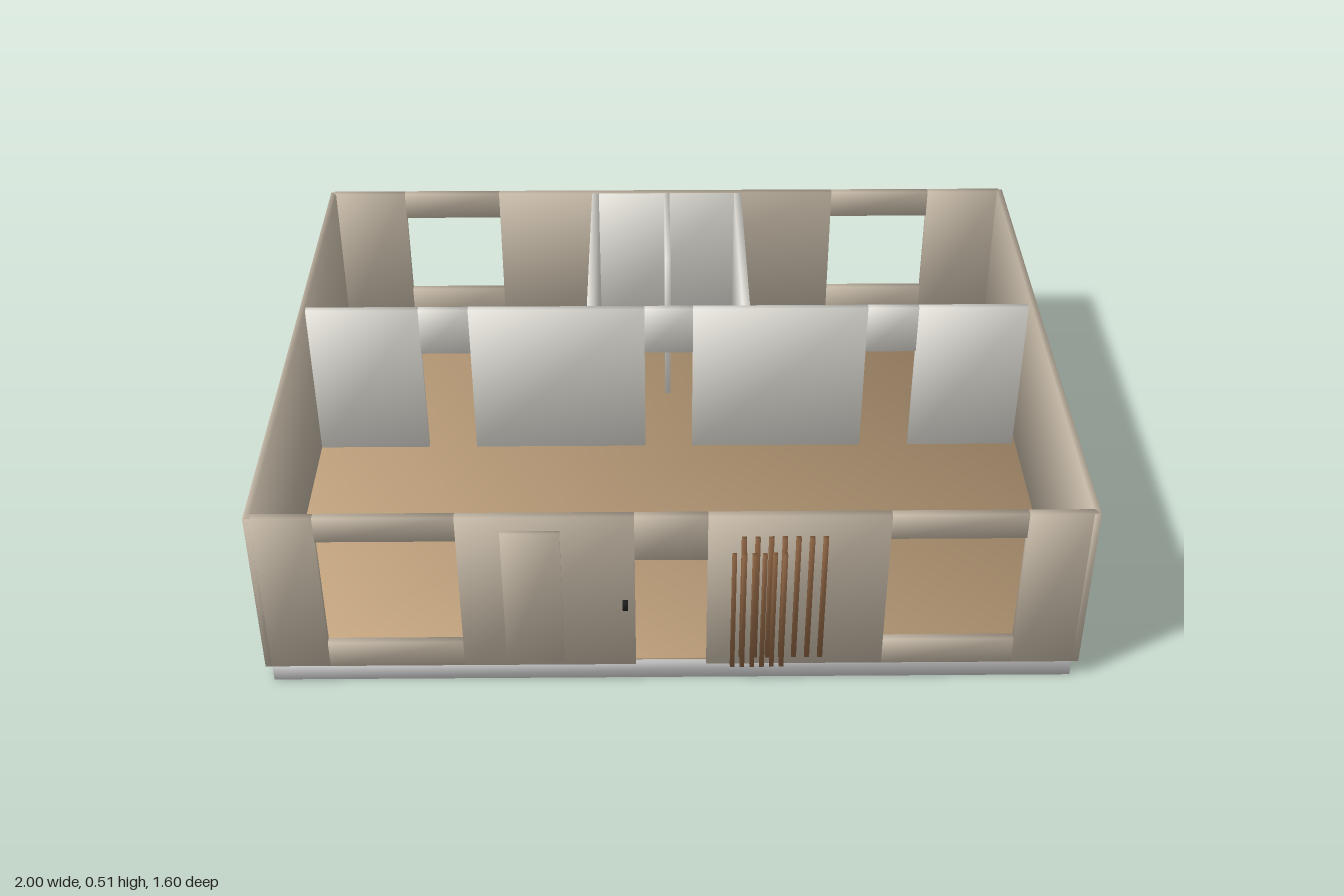
import * as THREE from 'three';

const mat = (color) => new THREE.MeshStandardMaterial({ color });

// Box from its min/max extents, with normals shared (smoothed) at each corner.
function box(name, material, [x0, x1], [y0, y1], [z0, z1]) {
  const g = new THREE.BoxGeometry(x1 - x0, y1 - y0, z1 - z0);
  const p = g.attributes.position, n = g.attributes.normal, v = new THREE.Vector3();
  for (let i = 0; i < p.count; i++) {
    v.set(Math.sign(p.getX(i)), Math.sign(p.getY(i)), Math.sign(p.getZ(i))).normalize();
    n.setXYZ(i, v.x, v.y, v.z);
  }
  const mesh = new THREE.Mesh(g, material);
  mesh.name = name;
  mesh.position.set((x0 + x1) / 2, (y0 + y1) / 2, (z0 + z1) / 2);
  return mesh;
}

const BASE = 0.05, TOP = 0.51;

// Wall along x, split into piers, sills and lintels around its openings.
function wall(name, material, [x0, x1], z, openings) {
  const group = new THREE.Group();
  group.name = name;
  let x = x0;
  for (const { from, to, sill = BASE, head } of openings) {
    group.add(box('pier', material, [x, from], [BASE, TOP], z));
    if (sill > BASE) group.add(box('sill', material, [from, to], [BASE, sill], z));
    group.add(box('lintel', material, [from, to], [head, TOP], z));
    x = to;
  }
  group.add(box('pier', material, [x, x1], [BASE, TOP], z));
  return group;
}

export function createModel() {
  const house = new THREE.Group();
  house.name = 'house';
  const concrete = mat(0xcccccc), plaster = mat(0xc4b8a6), white = mat(0xe6e4dc);
  const wood = mat(0xc8a882), slatWood = mat(0x8a6242), black = mat(0x222222);

  // Foundation and floor
  house.add(box('foundationSlab', concrete, [-0.985, 0.985], [0, 0.05], [-0.787, 0.767]));
  house.add(box('floor', wood, [-0.985, 0.985], [0.048, 0.054], [-0.782, 0.757]));

  // Outer walls
  house.add(wall('frontWall', plaster, [-0.997, 0.997], [0.755, 0.774], [
    { from: -0.84, to: -0.51, sill: 0.125, head: 0.44 },
    { from: -0.09, to: 0.083, head: 0.38 },
    { from: 0.513, to: 0.833, sill: 0.125, head: 0.44 },
  ]));
  house.add(wall('backWall', plaster, [-0.99, 0.99], [-0.8, -0.781], [
    { from: -0.78, to: -0.5, sill: 0.18, head: 0.43 },
    { from: 0.49, to: 0.777, sill: 0.18, head: 0.43 },
  ]));
  for (const s of [-1, 1]) {
    const x = s < 0 ? [-1, -0.984] : [0.984, 1];
    house.add(box(s < 0 ? 'rightWall' : 'leftWall', plaster, x, [BASE, TOP], [-0.795, 0.774]));
  }

  // Inner wall with three doorways
  house.add(wall('innerWall', white, [-0.984, 0.975], [-0.15, -0.132], [
    { from: -0.68, to: -0.545, head: 0.37 },
    { from: -0.067, to: 0.065, head: 0.37 },
    { from: 0.54, to: 0.678, head: 0.37 },
  ]));

  // Room partitions at the back
  house.add(box('partition', white, [-0.223, -0.203], [BASE, TOP], [-0.781, -0.15]));
  house.add(box('partition', white, [0.2, 0.22], [BASE, TOP], [-0.781, -0.15]));
  house.add(box('shortPartition', white, [-0.009, 0.007], [BASE, TOP], [-0.781, -0.395]));
  house.add(box('tiledPanel', white, [-0.203, 0.2], [BASE, TOP], [-0.782, -0.78]));

  // Door leaf and lock on the front wall
  house.add(box('doorPanel', plaster, [-0.405, -0.265], [0.07, 0.47], [0.774, 0.785]));
  house.add(box('lock', black, [-0.12, -0.107], [0.23, 0.257], [0.774, 0.783]));

  // Two overlapping rows of wooden slats
  const slats = new THREE.Group();
  slats.name = 'slats';
  for (let i = 0; i < 7; i++) {
    const x = 0.162 + i * 0.032;
    slats.add(box('tallSlat', slatWood, [x, x + 0.012], [0.08, 0.45], [0.774, 0.786]));
  }
  for (let i = 0; i < 6; i++) {
    const x = 0.14 + i * 0.024;
    slats.add(box('shortSlat', slatWood, [x, x + 0.011], [0.06, 0.41], [0.786, 0.798]));
  }
  house.add(slats);
  return house;
}
